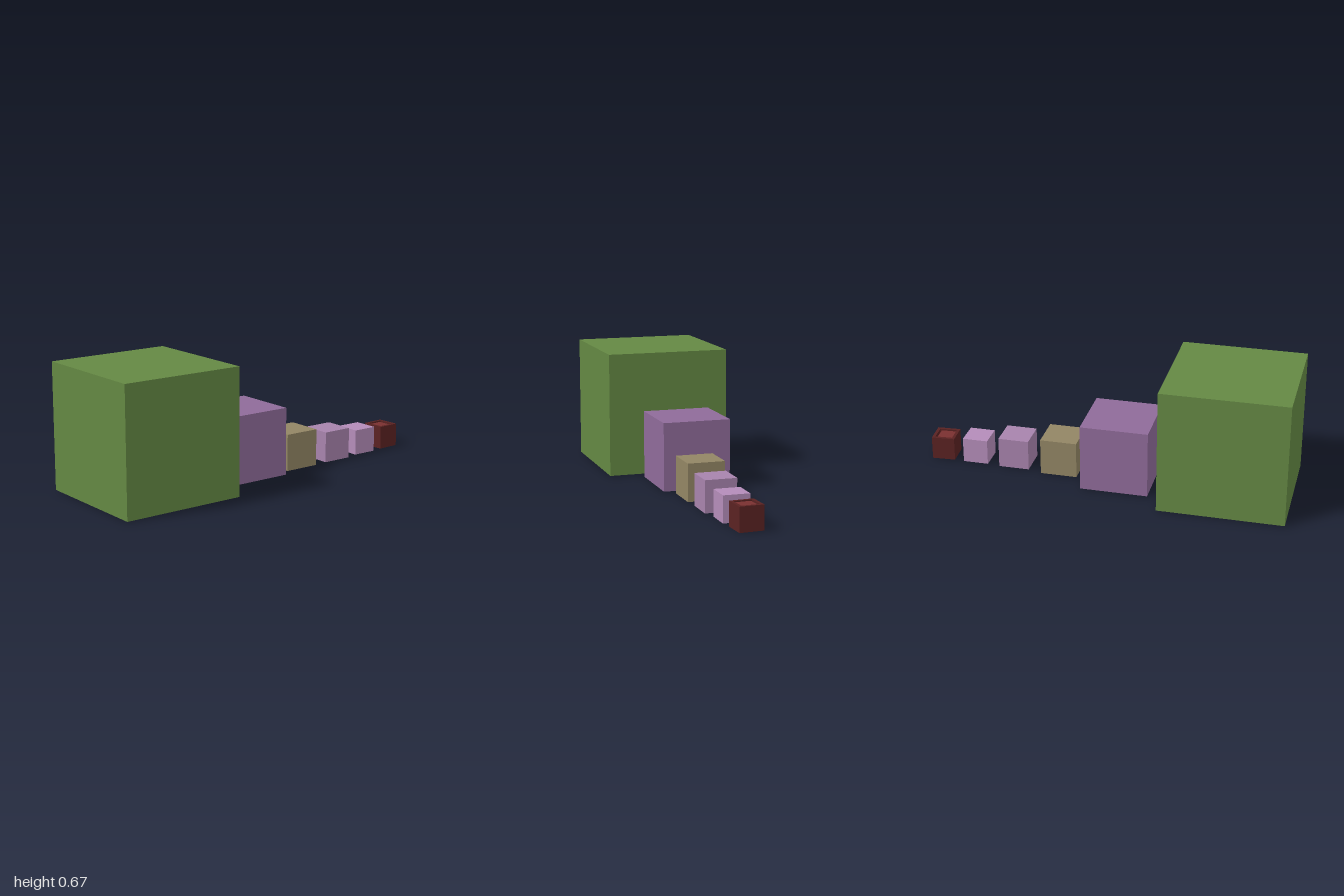
import * as THREE from 'three';

// A cube standing on the ground
function cube(name, size, x, z, color, turn) {
  const mesh = new THREE.Mesh(
    new THREE.BoxGeometry(size, size, size),
    new THREE.MeshStandardMaterial({ color, flatShading: true })
  );
  mesh.name = name;
  mesh.position.set(x, size / 2, z);
  mesh.rotation.y = turn;
  return mesh;
}

function squarePath(path, h) {
  path.moveTo(-h, -h);
  path.lineTo(h, -h);
  path.lineTo(h, h);
  path.lineTo(-h, h);
  path.closePath();
  return path;
}

// Smallest cube: a casing with a shallow opening on top and a lighter core
function openCube(size, x, z) {
  const group = new THREE.Group();
  group.name = 'openCube';
  const dark = new THREE.MeshStandardMaterial({ color: 0x5a2222, flatShading: true });
  const rimDepth = 0.02;

  const base = new THREE.Mesh(new THREE.BoxGeometry(size, size - rimDepth, size), dark);
  base.name = 'casing';
  base.position.y = (size - rimDepth) / 2;

  const outline = squarePath(new THREE.Shape(), size / 2);
  outline.holes.push(squarePath(new THREE.Path(), 0.047));
  const rim = new THREE.Mesh(
    new THREE.ExtrudeGeometry(outline, { depth: rimDepth, bevelEnabled: false }), dark
  );
  rim.name = 'rim';
  rim.rotation.x = -Math.PI / 2;
  rim.position.y = size - rimDepth;

  const core = new THREE.Mesh(
    new THREE.BoxGeometry(0.083, 0.014, 0.083),
    new THREE.MeshStandardMaterial({ color: 0x7a3030, flatShading: true })
  );
  core.name = 'core';
  core.position.set(-0.004, size - rimDepth + 0.007, 0);

  group.add(base, rim, core);
  group.position.set(x, 0, z);
  return group;
}

export function createModel() {
  const model = new THREE.Group();
  model.name = 'cubeRow';
  const turn = -0.053;

  // Row of shrinking cubes: name, size, x, z, color
  const cubes = [
    ['largeCube', 0.667, -0.65, 0, 0x648843],
    ['secondCube', 0.363, -0.06, 0.012, 0x8f6b99],
    ['thirdCube', 0.199, 0.27, 0.0625, 0x928564],
    ['fourthCube', 0.167, 0.528, 0.083, 0xa783ac],
    ['fifthCube', 0.138, 0.749, 0.089, 0xb48cb9],
  ];
  for (const [name, size, x, z, color] of cubes) model.add(cube(name, size, x, z, color, turn));

  model.add(openCube(0.126, 0.937, 0.0925));
  return model;
}
